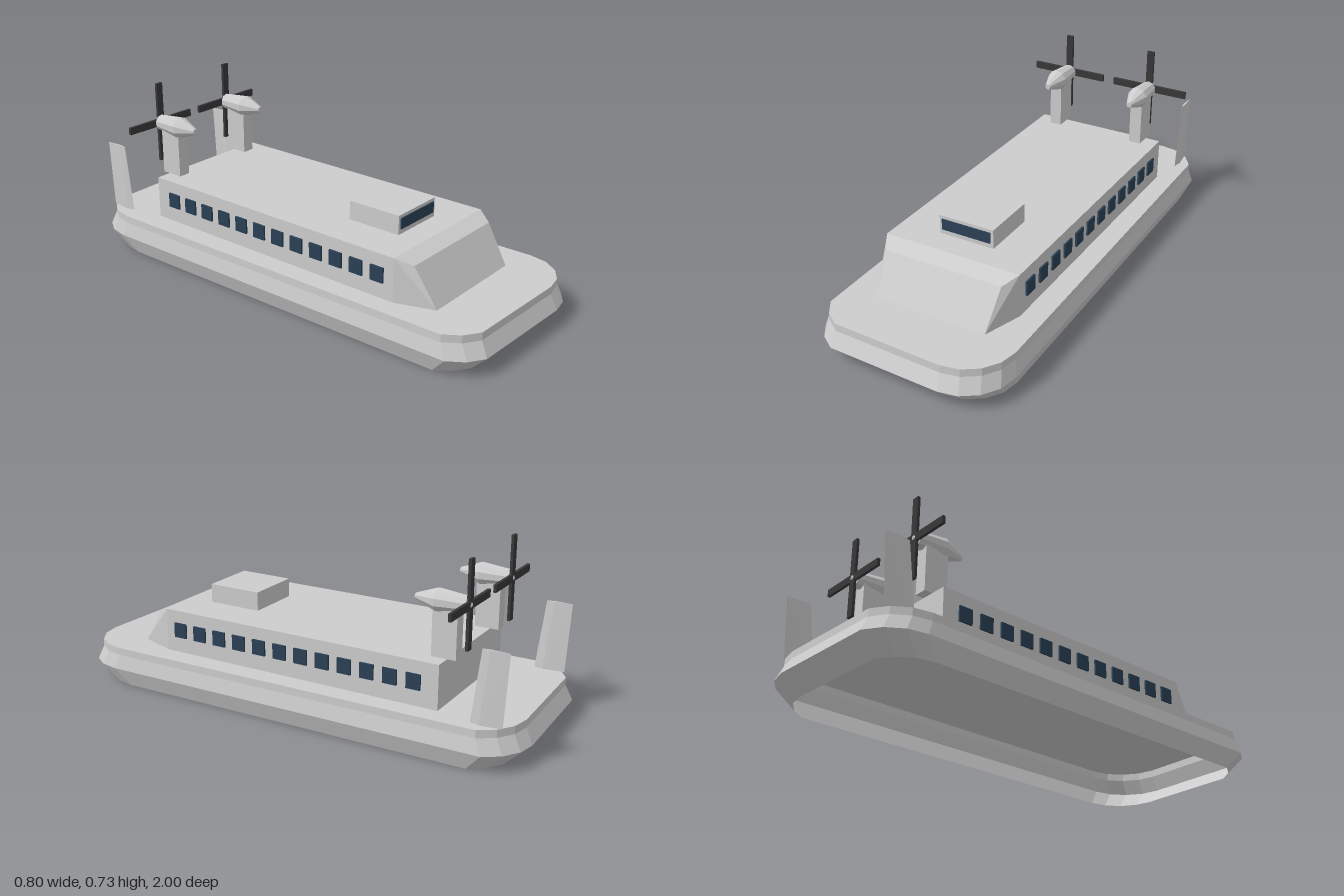
import * as THREE from 'three';
import { ConvexGeometry } from 'three/addons/geometries/ConvexGeometry.js';

const mat = (name, color) => {
  const m = new THREE.MeshStandardMaterial({ color, flatShading: true });
  m.name = name;
  return m;
};

export function createModel() {
  const grey = mat('hullGrey', 0xcccccc);
  grey.side = THREE.DoubleSide; // the skirt is open underneath
  const dark = mat('bladeDark', 0x383838);
  const glass = mat('windowBlue', 0x2a4055);
  const model = new THREE.Group();
  model.name = 'hovercraft';

  const add = (name, geometry, material, x = 0, y = 0, z = 0, parent = model) => {
    const mesh = new THREE.Mesh(geometry, material);
    mesh.name = name;
    mesh.position.set(x, y, z);
    parent.add(mesh);
    return mesh;
  };
  // box given by its limits on each axis
  const box = (name, material, [x0, x1], [y0, y1], [z0, z1], parent) =>
    add(name, new THREE.BoxGeometry(x1 - x0, y1 - y0, z1 - z0), material,
      (x0 + x1) / 2, (y0 + y1) / 2, (z0 + z1) / 2, parent);
  const hull = (points) => new ConvexGeometry(points.map((p) => new THREE.Vector3(...p)));

  // skirt: rounded outline, stacked at four heights, hollow below the deck
  const corners = [
    [0.2, 0.8, [0, 22.5, 45, 67.5, 90]],
    [-0.2, 0.8, [112.5, 135, 157.5]],
    [-0.2, -0.8, [180, 202.5, 225, 247.5]],
    [0.2, -0.8, [270, 292.5, 315, 337.5]],
  ];
  const outline = corners.flatMap(([cx, cz, angles]) => angles.map((a) => {
    const t = THREE.MathUtils.degToRad(a);
    return [cx + 0.2 * Math.cos(t), cz + 0.2 * Math.sin(t)];
  }));
  const levels = [[0, 0.925], [0.075, 1], [0.136, 0.971], [0.167, 0.97]];
  const pos = [];
  const index = [];
  const n = outline.length;
  for (const [y, s] of levels) for (const [x, z] of outline) pos.push(x * s, y, z * s);
  for (let l = 0; l < levels.length - 1; l++) {
    for (let i = 0; i < n; i++) {
      const a = l * n + i, b = l * n + (i + 1) % n;
      index.push(a, a + n, b, b, a + n, b + n);
    }
  }
  const top = (levels.length - 1) * n;
  for (let i = 1; i < n - 1; i++) index.push(top, top + i + 1, top + i); // deck
  const skirt = new THREE.BufferGeometry();
  skirt.setAttribute('position', new THREE.Float32BufferAttribute(pos, 3));
  skirt.setIndex(index);
  const skirtFlat = skirt.toNonIndexed();
  skirtFlat.computeVertexNormals();
  add('skirt', skirtFlat, grey);

  // cabin with tapered nose
  const cabin = [];
  for (const s of [-1, 1]) {
    cabin.push(
      [s * 0.293, 0.168, -0.665], [s * 0.293, 0.348, -0.665],
      [s * 0.293, 0.168, 0.585], [s * 0.293, 0.348, 0.585],
      [s * 0.254, 0.322, 0.65], [s * 0.24, 0.168, 0.745]);
  }
  add('cabin', hull(cabin), grey);

  // bridge and its window
  box('bridge', grey, [-0.119, 0.119], [0.348, 0.427], [0.245, 0.48]);
  box('bridgeWindow', glass, [-0.107, 0.107], [0.369, 0.414], [0.477, 0.485]);

  for (const s of [-1, 1]) {
    const side = s > 0 ? 'left' : 'right';

    // cabin windows
    for (let i = 0; i < 12; i++) {
      const z = 0.513 - i * 0.098;
      add(side + 'Window', new THREE.BoxGeometry(0.009, 0.062, 0.059), glass, s * 0.2965, 0.265, z);
    }

    // rudder: tapered diamond section
    const fin = [];
    for (const [y, front, back, half] of [[0.167, -0.805, -0.93, 0.009], [0.454, -0.84, -0.945, 0.005]]) {
      const mid = front + (back - front) * 0.3;
      fin.push([0, y, front], [half, y, mid], [-half, y, mid], [0, y, back]);
    }
    add(side + 'Rudder', hull(fin), grey, s * 0.321);

    // engine: pylon, nacelle, hub and crossed blades
    const engine = new THREE.Group();
    engine.name = side + 'Engine';
    engine.position.x = s * 0.2;
    model.add(engine);
    box('pylon', grey, [-0.0265, 0.0265], [0.348, 0.54], [-0.7, -0.6], engine);
    const profile = [[0, -0.73], [0.033, -0.73], [0.046, -0.61], [0.012, -0.52], [0, -0.52]]
      .map(([r, z]) => new THREE.Vector2(r, z));
    const nacelle = add('nacelle', new THREE.LatheGeometry(profile, 10), grey, 0, 0.561, 0, engine);
    nacelle.rotation.x = Math.PI / 2;
    add('hub', new THREE.SphereGeometry(0.013, 8, 6), grey, 0, 0.561, -0.733, engine);
    add('bladeAcross', new THREE.BoxGeometry(0.346, 0.031, 0.012), dark, 0, 0.561, -0.735, engine);
    add('bladeUpright', new THREE.BoxGeometry(0.031, 0.346, 0.012), dark, 0, 0.561, -0.735, engine);
  }
  return model;
}
